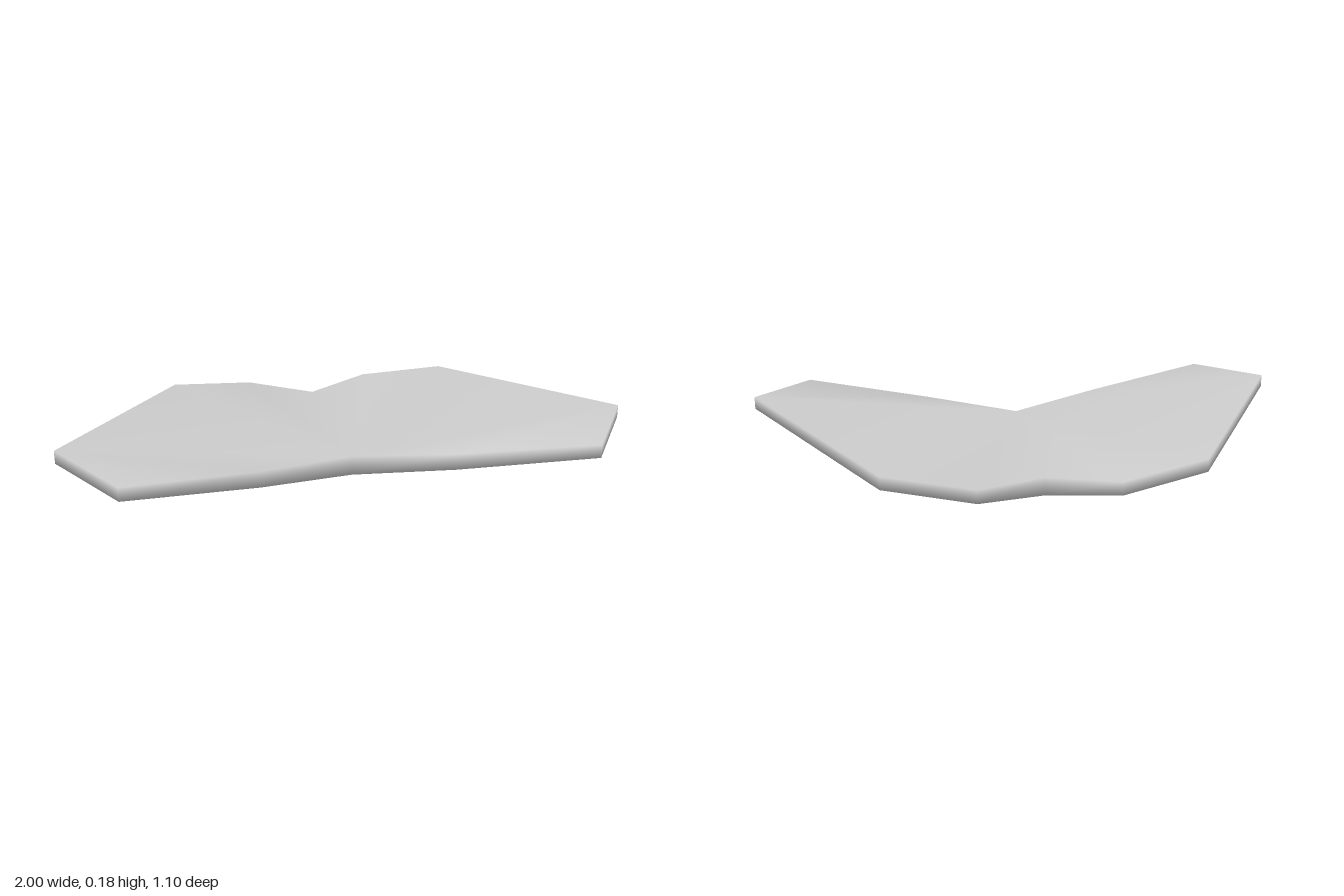
import * as THREE from 'three';

// Half outline from front centre round the left side to back centre: x, z, underside y, top y
const HALF = [
  [0, 0.27, 0, 0.07],
  [0.34, 0.405, 0.045, 0.103],
  [0.805, 0.545, 0.105, 0.153],
  [1, 0.26, 0.131, 0.177],
  [0.55, -0.48, 0.073, 0.12],
  [0.24, -0.55, 0.034, 0.083],
  [0, -0.43, 0, 0.065],
];

// Triangles that fill one half of the plate
const FILL = [[0, 1, 3], [1, 2, 3], [0, 3, 4], [0, 4, 5], [0, 5, 6]];

function plateGeometry() {
  // Mirror the half outline into a closed ring
  const mirrored = HALF.slice(1, -1).reverse().map(([x, z, low, high]) => [-x, z, low, high]);
  const ring = [...HALF, ...mirrored];
  const n = ring.length;
  const mirror = (i) => (n - i) % n;

  // Top ring first, underside ring second
  const positions = [];
  for (const [x, z, , high] of ring) positions.push(x, high, z);
  for (const [x, z, low] of ring) positions.push(x, low, z);

  const index = [];
  for (const [a, b, c] of FILL) {
    index.push(a, b, c, mirror(a), mirror(c), mirror(b));
    index.push(n + a, n + c, n + b, n + mirror(a), n + mirror(b), n + mirror(c));
  }
  // Rim wall
  for (let i = 0; i < n; i++) {
    const j = (i + 1) % n;
    index.push(n + i, n + j, j, n + i, j, i);
  }

  const geometry = new THREE.BufferGeometry();
  geometry.setAttribute('position', new THREE.Float32BufferAttribute(positions, 3));
  geometry.setIndex(index);
  geometry.computeVertexNormals(); // shared corners give the soft rim
  return geometry;
}

export function createModel() {
  const group = new THREE.Group();
  group.name = 'foldedPlate';
  const plate = new THREE.Mesh(plateGeometry(), new THREE.MeshStandardMaterial({ color: 0xcccccc }));
  plate.name = 'wingPlate';
  group.add(plate);
  return group;
}
